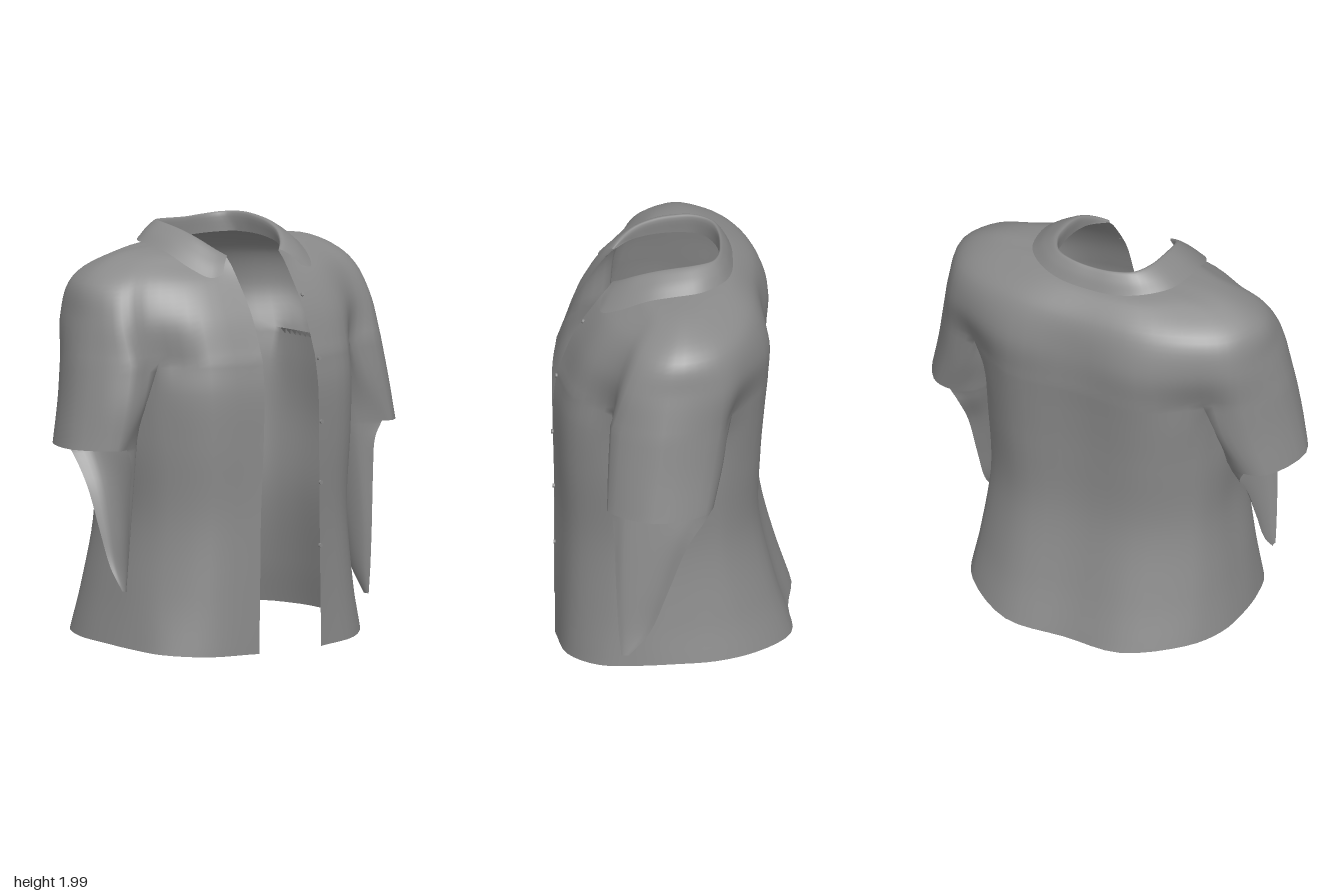
import * as THREE from 'three';
import { mergeGeometries, mergeVertices } from 'three/addons/utils/BufferGeometryUtils.js';

const STEP = 4; // samples between two control points of a cross-section
const V = (p) => new THREE.Vector3(...p);
const flip = (ring) => ring.map((p) => new THREE.Vector3(-p.x, p.y, p.z)).reverse();

// Smooth line through control points, sampled evenly per interval
function sample(points, closed = false) {
  const curve = new THREE.CatmullRomCurve3(points, closed);
  const n = (points.length - (closed ? 0 : 1)) * STEP;
  return Array.from({ length: n + 1 }, (_, i) => (closed && i === n ? curve.getPoint(0) : curve.getPoint(i / n)));
}

// Cross-section from one half (front opening to centre back), mirrored
function fullRing(half) {
  const pts = half.map(V);
  return sample([...pts, ...flip(pts).slice(1)]);
}

// Skin over rings listed from bottom to top
function loft(rings, sub = 5) {
  const rows = (rings.length - 1) * sub, cols = rings[0].length;
  const pos = [], index = [];
  const lines = rings[0].map((_, j) => new THREE.CatmullRomCurve3(rings.map((r) => r[j])));
  for (let i = 0; i <= rows; i++) {
    for (let j = 0; j < cols; j++) pos.push(...lines[j].getPoint(i / rows).toArray());
  }
  for (let i = 0; i < rows; i++) {
    for (let j = 0; j < cols - 1; j++) {
      const a = i * cols + j, b = a + 1, c = a + cols, d = c + 1;
      index.push(a, b, d, a, d, c);
    }
  }
  const g = new THREE.BufferGeometry();
  g.setAttribute('position', new THREE.Float32BufferAttribute(pos, 3));
  g.setIndex(index);
  return g;
}

const level = (y, pts) => pts.map(([x, z]) => [x, y, z]);

export function createModel() {
  const group = new THREE.Group();
  group.name = 'openShirt';
  const cloth = new THREE.MeshStandardMaterial({ color: 0x8a8a8a, side: THREE.DoubleSide });
  cloth.name = 'grey cloth';
  const add = (name, geometry) => {
    const mesh = new THREE.Mesh(geometry, cloth);
    mesh.name = name;
    group.add(mesh);
    return mesh;
  };

  // Shoulders: from the armpits up to the neckline
  const upper = [
    level(1.4, [[.16, .543], [.42, .47], [.585, .29], [.76, .295], [.885, .06], [.77, -.215], [.6, -.275], [.35, -.435], [0, -.425]]),
    level(1.6, [[.16, .465], [.42, .405], [.62, .27], [.76, .23], [.835, .03], [.76, -.225], [.61, -.335], [.33, -.45], [0, -.425]]),
    [[.16, 1.75, .37], [.38, 1.76, .31], [.58, 1.76, .21], [.7, 1.76, .16], [.785, 1.76, 0], [.725, 1.76, -.185], [.58, 1.77, -.3], [.32, 1.78, -.385], [0, 1.77, -.39]],
    [[.16, 1.83, .31], [.33, 1.85, .2], [.46, 1.86, .13], [.55, 1.865, .07], [.6, 1.87, -.03], [.56, 1.865, -.12], [.46, 1.87, -.18], [.26, 1.87, -.28], [0, 1.865, -.3]],
    [[.16, 1.865, .275], [.225, 1.88, .2], [.25, 1.89, .13], [.258, 1.9, .05], [.258, 1.905, -.03], [.252, 1.905, -.09], [.235, 1.905, -.14], [.14, 1.9, -.205], [0, 1.895, -.225]],
  ].map(fullRing);

  // Line under the arm, where torso and sleeve meet
  const c0 = 2 * STEP, c1 = 6 * STEP;
  const armhole = upper[0].slice(c0, c1 + 1);
  const underarm = sample([armhole[0], V([.59, 1.4, .16]), V([.593, 1.4, .03]), V([.598, 1.4, -.12]), armhole[armhole.length - 1]]);
  const halfTop = [...upper[0].slice(0, c0), ...underarm, ...upper[0].slice(c1 + 1, 8 * STEP + 1)];
  const torsoTop = [...halfTop, ...flip(halfTop).slice(1)];

  // Torso: hem to armpits, open at the front, hanging slightly to the right
  const lower = [
    [[.19, .01, .555], [.44, .025, .5], [.605, .05, .35], [.655, .07, .18], [.67, .085, 0], [.65, .09, -.2], [.56, .09, -.385], [.3, .055, -.555], [0, .04, -.545]],
    level(.3, [[.185, .555], [.43, .48], [.575, .315], [.62, .18], [.63, .02], [.615, -.16], [.55, -.31], [.3, -.475], [0, -.465]]),
    level(.65, [[.18, .555], [.41, .472], [.54, .312], [.578, .19], [.588, .04], [.578, -.12], [.525, -.25], [.3, -.395], [0, -.395]]),
    level(1, [[.17, .563], [.415, .49], [.555, .32], [.598, .19], [.612, .04], [.597, -.12], [.54, -.255], [.33, -.4], [0, -.395]]),
    level(1.25, [[.165, .563], [.42, .49], [.568, .305], [.597, .18], [.603, .03], [.596, -.12], [.565, -.26], [.34, -.42], [0, -.41]]),
  ].map((half, i) => fullRing(half).map((p) => {
    const k = (p.x / .67) ** 2;
    const drop = i === 0 && p.x < 0 ? .04 * k : 0;
    return new THREE.Vector3(p.x - .013 * k, p.y - drop, p.z);
  }));

  // Sleeve: closed rings, hem first
  const sleeve = [
    level(1, [[.77, .305], [.835, .315], [.96, .1], [.875, -.145], [.77, -.185], [.66, -.135], [.613, .03], [.65, .22]]),
    level(1.2, [[.665, .285], [.8, .305], [.92, .08], [.815, -.18], [.665, -.23], [.608, -.14], [.6, .03], [.608, .18]]),
  ].map((r) => sample(r.map(V), true));
  sleeve.push([...armhole, ...underarm.slice(0, -1).reverse()]);

  // Pointed flap hanging below the inner half of the sleeve
  const flapRows = [
    level(.175, [[.735, .215], [.733, .225], [.732, .235], [.733, .243], [.735, .25]]),
    level(.3, [[.735, .115], [.718, .14], [.71, .19], [.716, .235], [.735, .262]]),
    level(.5, [[.735, .035], [.703, .08], [.686, .16], [.703, .24], [.735, .273]]),
    level(.75, [[.735, -.06], [.68, 0], [.655, .1], [.68, .235], [.735, .282]]),
    level(.92, [[.738, -.16], [.66, -.09], [.63, .06], [.66, .225], [.738, .293]]),
  ].map((r) => sample(r.map(V)));
  const flap = (drop) => [...flapRows, sleeve[0].slice(4 * STEP)]
    .map((r) => r.map((p) => new THREE.Vector3(p.x, 1 - (1 - p.y) * drop, p.z)));

  // The right sleeve opening is a little shallower at the front
  const rightArm = (ring) => flip(ring).map((p) => {
    if (p.y < 1.01) p.z -= Math.max(0, p.z - .1) * .14;
    return p;
  });

  // Weld all cloth panels for continuous shading, then split them by name
  const panels = {
    shoulders: loft(upper, 6),
    torso: loft([...lower, torsoTop], 6),
    leftSleeve: loft(sleeve),
    rightSleeve: loft(sleeve.map(rightArm)),
    leftSleeveFlap: loft(flap(1)),
    rightSleeveFlap: loft(flap(.83).map(rightArm)),
  };
  const welded = mergeVertices(mergeGeometries(Object.values(panels)), 1e-4);
  welded.computeVertexNormals();
  const all = Array.from(welded.index.array);
  let start = 0;
  for (const [name, panel] of Object.entries(panels)) {
    const part = new THREE.BufferGeometry();
    part.setAttribute('position', welded.attributes.position);
    part.setAttribute('normal', welded.attributes.normal);
    part.setIndex(all.slice(start, start + panel.index.count));
    start += panel.index.count;
    add(name, part);
  }

  // Collar: outer edge, over the fold, down to the neckline
  const fold = [[.16, 1.87, .28], [.2, 1.9, .245], [.24, 1.945, .17], [.255, 1.975, .08], [.257, 1.99, 0], [.247, 2, -.1], [.2, 1.997, -.185], [.11, 1.99, -.218], [0, 1.985, -.225]];
  const edge = [[.24, 1.795, .347], [.305, 1.782, .338], [.362, 1.825, .25], [.39, 1.885, .12], [.393, 1.908, 0], [.365, 1.915, -.13], [.27, 1.913, -.23], [.15, 1.9, -.275], [0, 1.895, -.285]];
  const middle = fold.map((p, i) => p.map((v, k) => (v + edge[i][k]) / 2 + (k === 1 ? .012 : 0)));
  const collar = loft([...[edge, middle, fold].map(fullRing), upper[upper.length - 1]]);
  collar.computeVertexNormals();
  add('collar', collar);

  // Buttons down the left front edge
  const buttonShape = new THREE.CylinderGeometry(.01, .01, .01, 12).rotateX(Math.PI / 2);
  [[1.67, .425, -.5], [1.38, .549, -.15], [1.08, .568, 0], [.79, .561, 0], [.49, .558, 0]].forEach(([y, z, tilt], i) => {
    const button = add('button' + (i + 1), buttonShape);
    button.position.set(.182, y, z);
    button.rotation.x = tilt;
  });

  return group;
}
